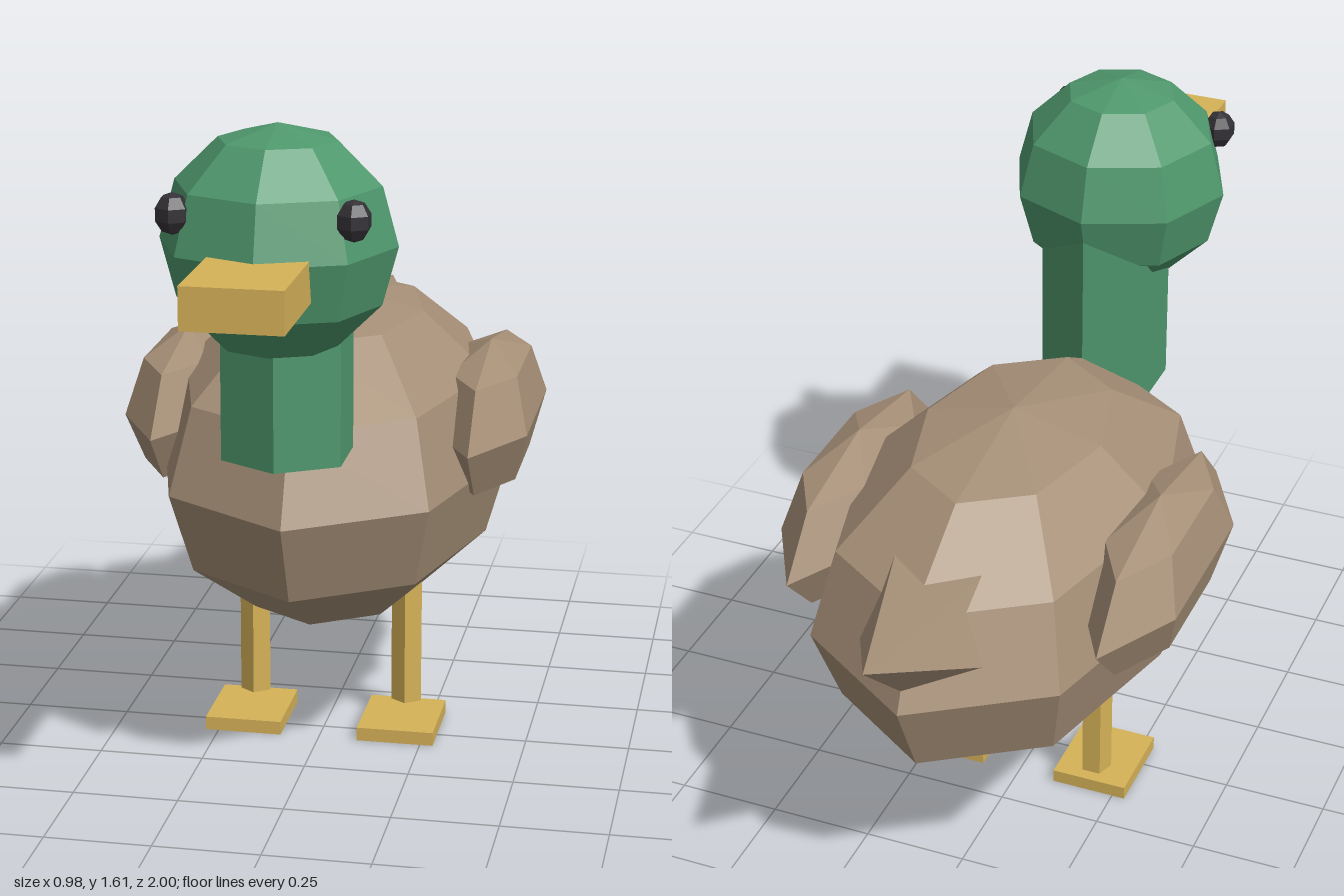
import * as THREE from 'three';

const paint = (name, color) => {
  const m = new THREE.MeshStandardMaterial({ color });
  m.name = name;
  return m;
};

export function createModel() {
  const brown = paint('brown feathers', 0xa68f77);
  const green = paint('green feathers', 0x4f986d);
  const yellow = paint('yellow beak and legs', 0xd6b258);
  const black = paint('black eyes', 0x343136);

  const duck = new THREE.Group();
  duck.name = 'duck';

  // Adds a faceted part
  const add = (name, geometry, material, x, y, z) => {
    const flat = geometry.toNonIndexed();
    flat.computeVertexNormals();
    const mesh = new THREE.Mesh(flat, material);
    mesh.name = name;
    mesh.position.set(x, y, z);
    duck.add(mesh);
    return mesh;
  };

  // Faceted ellipsoid with a corner pointing forward
  const ellipsoid = (rx, ry, rz, sides, rings) =>
    new THREE.SphereGeometry(1, sides, rings).rotateY(Math.PI / 2).scale(rx, ry, rz);

  // Body, neck and head
  add('body', ellipsoid(0.43, 0.4, 0.68, 8, 6), brown, 0, 0.68, -0.16);
  add('neck', new THREE.CylinderGeometry(0.156, 0.156, 0.46, 6), green, 0, 1.067, 0.435);
  add('head', ellipsoid(0.264, 0.261, 0.264, 8, 6), green, 0, 1.344, 0.527);
  add('beak', new THREE.BoxGeometry(0.22, 0.094, 0.4), yellow, 0, 1.308, 0.8);

  // Tail: five-sided cone hung from its tip, tilted upward
  const tail = new THREE.ConeGeometry(0.2, 0.42, 5)
    .translate(0, -0.21, 0)
    .rotateY(Math.PI)
    .rotateX(THREE.MathUtils.degToRad(-72));
  add('tail', tail, brown, 0, 0.905, -1);

  // Paired parts
  for (const [side, s] of [['left', 1], ['right', -1]]) {
    add(side + 'Wing', ellipsoid(0.13, 0.18, 0.407, 6, 4), brown, s * 0.375, 0.776, -0.2);
    add(side + 'Eye', ellipsoid(0.04, 0.046, 0.04, 6, 5), black, s * 0.195, 1.433, 0.688);
    add(side + 'Leg', new THREE.CylinderGeometry(0.039, 0.039, 0.35, 5), yellow, s * 0.19, 0.225, -0.102);
    add(side + 'Foot', new THREE.BoxGeometry(0.187, 0.033, 0.216), yellow, s * 0.188, 0.0165, -0.036);
  }

  return duck;
}
